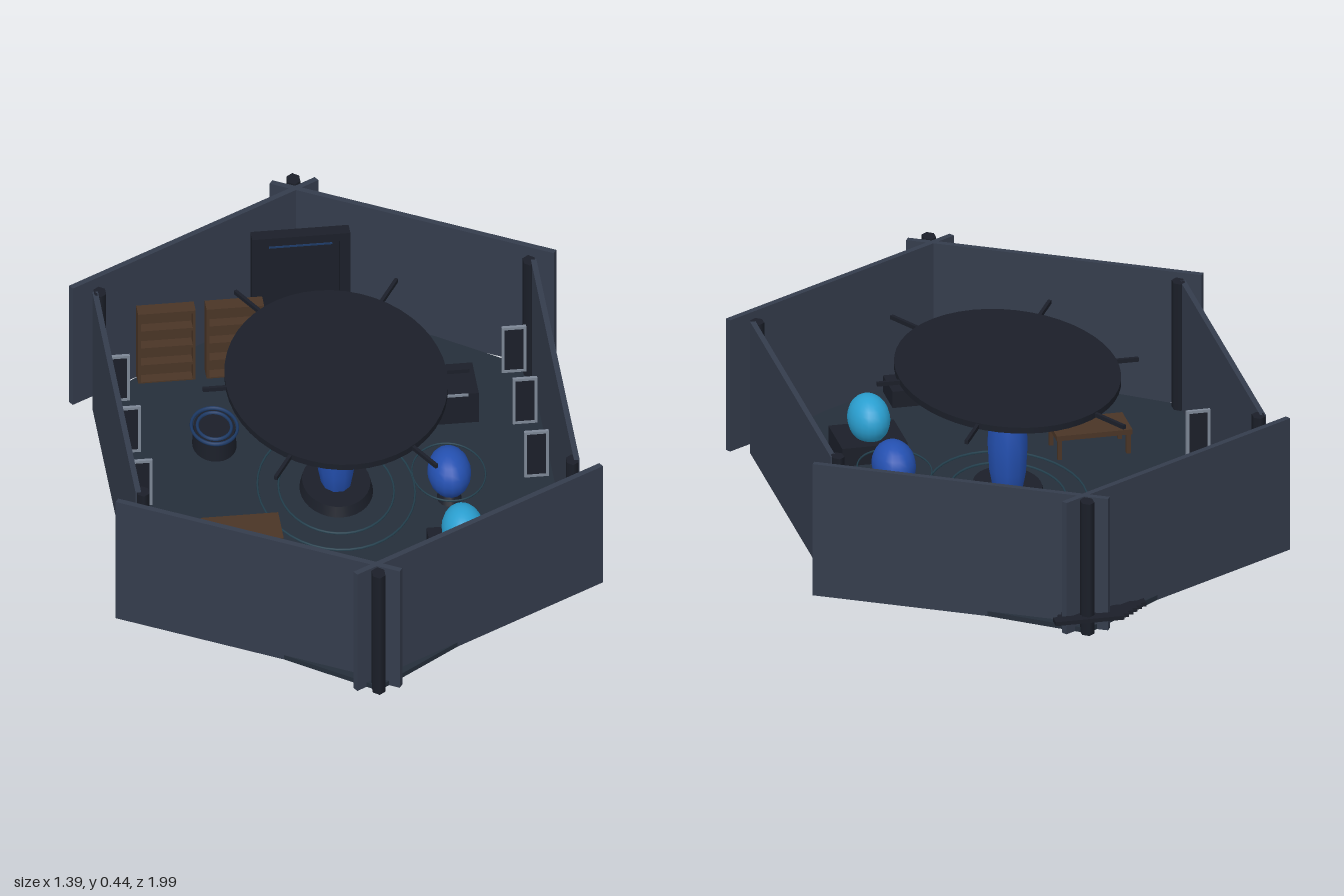
import * as THREE from 'three';

const mats = {};
function mat(color) {
  return (mats[color] ??= new THREE.MeshStandardMaterial({ color, side: THREE.DoubleSide, flatShading: false }));
}
const WALL = 0x343c4c, FLOOR = 0x252e3a, DARK = 0x1b1f29, BROWN = 0x4a3526, BLUE = 0x2450b0,
  CYAN = 0x2a9fd0, TRIM = 0x7d8796, RING = 0x1d3a66, TEAL = 0x24404e;
const SX = 0.74; // the round parts are narrower across than they are long

export function createModel() {
  const model = new THREE.Group();

  function add(name, geo, color, x, y, z, parent = model) {
    const m = new THREE.Mesh(geo, mat(color));
    m.name = name;
    m.position.set(x, y, z);
    parent.add(m);
    return m;
  }
  // Box given by its ranges along each axis
  function box(name, color, x0, x1, y0, y1, z0, z1) {
    return add(name, new THREE.BoxGeometry(x1 - x0, y1 - y0, z1 - z0), color, (x0 + x1) / 2, (y0 + y1) / 2, (z0 + z1) / 2);
  }
  // Upright bar between two plan points
  function bar(name, color, ax, az, bx, bz, y0, y1, thick) {
    const len = Math.hypot(bx - ax, bz - az);
    const m = add(name, new THREE.BoxGeometry(len, y1 - y0, thick), color, (ax + bx) / 2, (y0 + y1) / 2, (az + bz) / 2);
    m.rotation.y = -Math.atan2(bz - az, bx - ax);
    return m;
  }
  // Flat oval ring
  function ring(name, color, r, tube, x, y, z) {
    const g = new THREE.TorusGeometry(r, tube, 6, 40).rotateX(Math.PI / 2).scale(SX, 1, 1);
    return add(name, g, color, x, y, z);
  }
  function oval(name, color, rTop, rBottom, h, x, y, z, sides = 32) {
    return add(name, new THREE.CylinderGeometry(rTop, rBottom, h, sides).scale(SX, 1, 1), color, x, y, z);
  }

  // Hexagonal floor
  const plan = new THREE.Shape([[0, 0.97], [0.63, 0.5], [0.63, -0.5], [0, -0.97], [-0.63, -0.5], [-0.63, 0.5]]
    .map(([x, z]) => new THREE.Vector2(x, z)));
  add('floor', new THREE.ExtrudeGeometry(plan, { depth: 0.015, bevelEnabled: false }).rotateX(-Math.PI / 2), FLOOR, 0, 0.03, 0);

  // Walls and corner columns
  for (const s of [-1, 1]) {
    box('sideWall', WALL, s * 0.625 - 0.008, s * 0.625 + 0.008, 0.03, 0.435, -0.49, 0.49);
    for (const t of [-1, 1]) {
      bar('diagonalWall', WALL, s * 0.69, t * 0.52, -s * 0.065, t * 0.955, 0.03, 0.435, 0.018);
      oval('cornerColumn', DARK, 0.026, 0.026, 0.405, s * 0.612, 0.2325, t * 0.487, 6);
    }
    oval('endColumn', DARK, 0.028, 0.028, 0.405, 0, 0.2325, s * 0.962, 6);
  }

  // Overhead disc with short spokes
  oval('overheadDisc', DARK, 0.425, 0.425, 0.018, 0, 0.424, 0.005, 48);
  for (const s of [-1, 1]) {
    bar('spoke', DARK, s * 0.25, 0.003, s * 0.38, 0.003, 0.418, 0.43, 0.01);
    for (const t of [-1, 1]) bar('spoke', DARK, s * 0.15, t * 0.31, s * 0.23, t * 0.455, 0.418, 0.43, 0.01);
  }

  // Central core, its base and floor rings
  add('core', new THREE.SphereGeometry(1, 10, 8).scale(0.058, 0.205, 0.078), BLUE, 0, 0.205, 0.005);
  oval('coreBase', DARK, 0.13, 0.14, 0.03, 0, 0.06, 0.005);
  for (const r of [0.22, 0.3]) ring('floorRing', TEAL, r, 0.004, 0, 0.047, 0.005);

  // Framed panels along both sides
  for (const s of [-1, 1]) for (const z of [-0.46, -0.21, 0.05]) {
    const panel = new THREE.Group();
    panel.name = 'sidePanel';
    panel.position.set(s * 0.565, 0.15, z);
    for (const k of [-1, 1]) {
      add('panelUpright', new THREE.BoxGeometry(0.008, 0.155, 0.01), TRIM, k * 0.031, 0, 0, panel);
      add('panelRail', new THREE.BoxGeometry(0.07, 0.008, 0.01), TRIM, 0, k * 0.074, 0, panel);
    }
    add('panelScreen', new THREE.BoxGeometry(0.06, 0.145, 0.005), DARK, 0, 0, 0, panel);
    model.add(panel);
  }

  // Front desk with leaning screen
  box('desk', DARK, -0.17, 0.175, 0.04, 0.095, 0.67, 0.79);
  const screen = box('deskScreen', BLUE, -0.14, 0.14, 0.1, 0.23, 0.652, 0.66);
  screen.rotation.x = 0.1;

  // Rear doorway: jambs, lintel, recessed leaf and light strip
  for (const s of [-1, 1]) box('doorJamb', DARK, s * 0.125 - 0.015, s * 0.125 + 0.015, 0.03, 0.36, -0.825, -0.785);
  box('doorLintel', DARK, -0.14, 0.14, 0.335, 0.36, -0.825, -0.785);
  box('doorLeaf', DARK, -0.12, 0.12, 0.03, 0.34, -0.82, -0.8);
  box('doorLight', RING, -0.09, 0.09, 0.317, 0.322, -0.8, -0.797);

  // Rear steps, rising outward
  for (let i = 0; i < 6; i++) {
    const x = -0.1 + i * 0.02, y = 0.04 + i * 0.007, z = -0.83 - i * 0.031;
    box('step', DARK, x - 0.1, x + 0.1, y, y + 0.012, z - 0.015, z + 0.02);
  }

  // Two bookcases with shelves
  for (const x of [-0.41, -0.215]) {
    box('bookcaseBack', BROWN, x - 0.082, x + 0.082, 0.04, 0.285, -0.615, -0.605);
    for (const s of [-1, 1]) box('bookcaseSide', BROWN, x + s * 0.078 - 0.004, x + s * 0.078 + 0.004, 0.04, 0.285, -0.615, -0.57);
    for (let i = 0; i < 5; i++) box('shelf', BROWN, x - 0.082, x + 0.082, 0.04 + i * 0.059, 0.049 + i * 0.059, -0.615, -0.57);
  }

  // Rear console with trim strip and three feet
  box('console', DARK, 0.19, 0.44, 0.05, 0.15, -0.41, -0.26);
  box('consoleTrim', TRIM, 0.25, 0.41, 0.145, 0.152, -0.26, -0.255);
  for (const x of [0.225, 0.313, 0.4]) add('consoleFoot', new THREE.CylinderGeometry(0.005, 0.005, 0.04, 8), BROWN, x, 0.04, -0.33);

  // Globe on a stand with an orbit ring
  add('globe', new THREE.SphereGeometry(1, 16, 12).scale(0.062, 0.07, 0.085), BLUE, 0.312, 0.135, 0.085);
  oval('globeStand', DARK, 0.03, 0.05, 0.04, 0.312, 0.06, 0.085, 16);
  ring('orbitRing', TEAL, 0.14, 0.003, 0.312, 0.125, 0.075);

  // Bright orb on a square plinth
  box('plinth', DARK, 0.22, 0.41, 0.04, 0.1, 0.3, 0.47);
  add('orb', new THREE.SphereGeometry(1, 20, 14).scale(0.06, 0.07, 0.083), CYAN, 0.313, 0.15, 0.385);

  // Low table
  box('tableTop', BROWN, -0.41, -0.19, 0.105, 0.12, 0.2, 0.325);
  for (const x of [-0.4, -0.2]) for (const z of [0.21, 0.315]) box('tableLeg', BROWN, x - 0.006, x + 0.006, 0.04, 0.11, z - 0.006, z + 0.006);

  // Round drum topped with rings
  oval('drum', DARK, 0.08, 0.085, 0.065, -0.315, 0.075, -0.252, 24);
  for (const r of [0.065, 0.088]) ring('drumRing', RING, r, 0.006, -0.315, 0.108, -0.252);

  return model;
}
